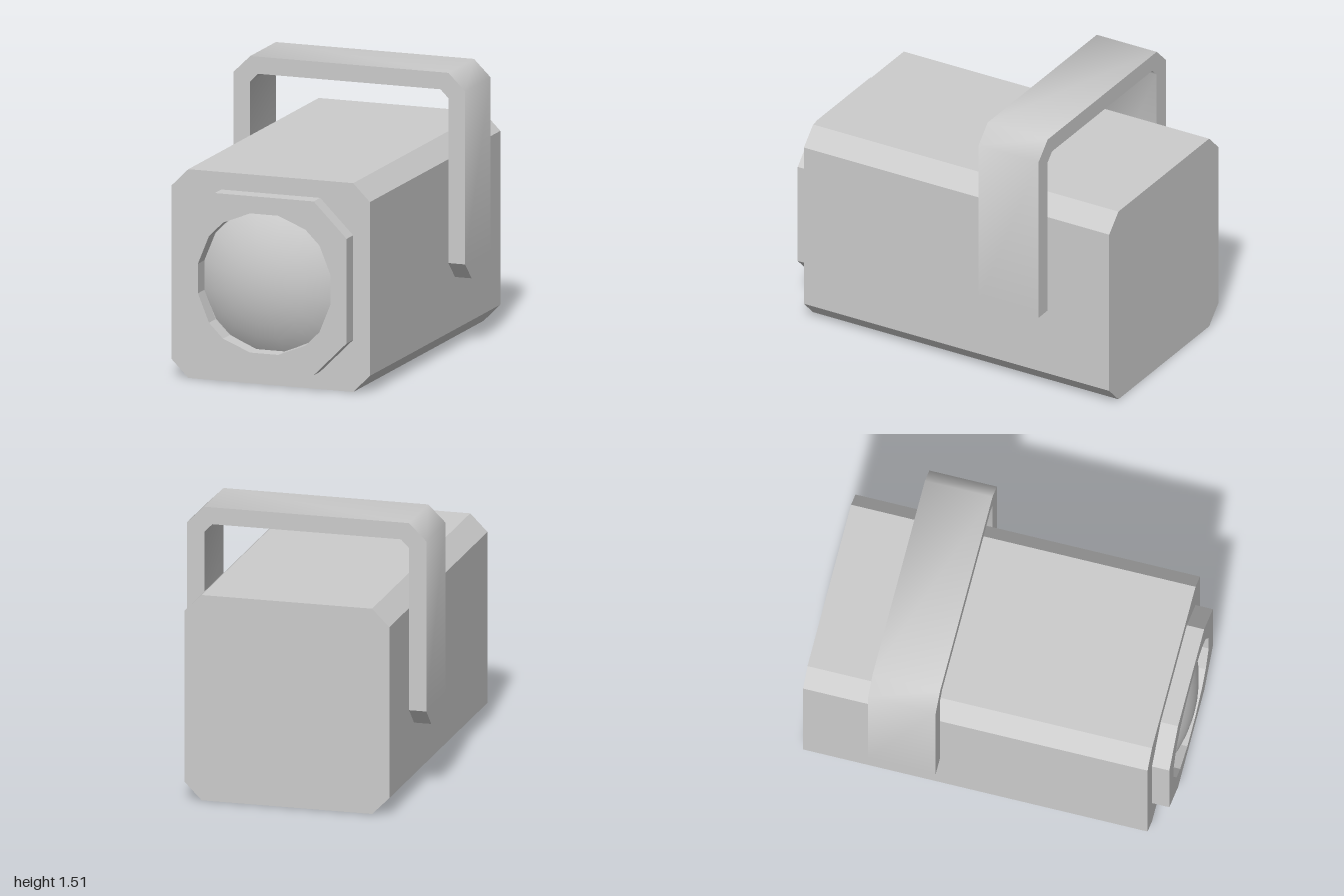
import * as THREE from 'three';
import { toCreasedNormals } from 'three/addons/utils/BufferGeometryUtils.js';

const MID_Y = 0.567; // height of the lamp axis

const grey = () => new THREE.MeshStandardMaterial({ color: 0xcccccc });

function shapeOf(points) {
  return new THREE.Shape(points.map(([x, y]) => new THREE.Vector2(x, y)));
}

// Rectangle centred on the origin with its corners cut at 45 degrees
function chamferedRect(hw, hh, c) {
  return shapeOf([
    [-hw + c, -hh], [hw - c, -hh], [hw, -hh + c], [hw, hh - c],
    [hw - c, hh], [-hw + c, hh], [-hw, hh - c], [-hw, -hh + c],
  ]);
}

function extrude(shape, depth) {
  return new THREE.ExtrudeGeometry(shape, { depth, bevelEnabled: false });
}

// Sixteen-sided lens opening, from one quadrant turned four times
function lensOutline() {
  const quadrant = [[0.378, 0.08], [0.315, 0.235], [0.235, 0.315], [0.08, 0.378]];
  const points = [];
  for (let q = 0; q < 4; q++) {
    for (const [x, y] of quadrant) {
      points.push(new THREE.Vector2(x, y).rotateAround(new THREE.Vector2(), q * Math.PI / 2));
    }
  }
  return points;
}

// Shallow dome: a disc whose rings follow the outline and bulge as a sphere cap
function lensGeometry(outline, rise) {
  const rings = 5, n = outline.length;
  const edge = outline[0].length();
  const R = (edge * edge + rise * rise) / (2 * rise);
  const g = new THREE.RingGeometry(0, 1, n, rings);
  const pos = g.attributes.position, normal = g.attributes.normal;
  const v = new THREE.Vector3();
  for (let j = 0; j <= rings; j++) {
    for (let i = 0; i <= n; i++) {
      const p = outline[i % n], s = j / rings, k = j * (n + 1) + i;
      v.set(p.x * s, p.y * s, 0);
      v.z = Math.sqrt(R * R - v.lengthSq());
      pos.setXYZ(k, v.x, v.y, v.z - R + rise);
      v.normalize();
      normal.setXYZ(k, v.x, v.y, v.z);
    }
  }
  return g;
}

export function createModel() {
  const model = new THREE.Group();
  model.name = 'lantern';
  const add = (name, geometry, x, y, z, parent = model) => {
    const mesh = new THREE.Mesh(geometry, grey());
    mesh.name = name;
    mesh.position.set(x, y, z);
    parent.add(mesh);
    return mesh;
  };

  // Long housing with chamfered edges
  add('housing', extrude(chamferedRect(0.565, MID_Y, 0.095), 1.885), 0, MID_Y, -1);

  // Raised bezel around the lens opening
  const outline = lensOutline();
  const bezel = chamferedRect(0.47, 0.472, 0.188);
  bezel.holes.push(new THREE.Path(outline));
  add('bezel', extrude(bezel, 0.095), 0, MID_Y, 0.885);

  // Domed lens
  add('lens', lensGeometry(outline, 0.113), 0, MID_Y, 0.887);

  // Carrying handle: a U-shaped strap, softly shaded over its corners
  const handle = new THREE.Group();
  handle.name = 'handle';
  model.add(handle);
  const half = [
    [0.565, 0.475], [0.66, 0.475], [0.66, 1.415], [0.565, 1.508],
  ];
  const inner = [[-0.52, 1.415], [0.52, 1.415], [0.565, 1.37]];
  const strap = shapeOf([
    ...half,
    ...half.map(([x, y]) => [-x, y]).reverse(),
    [-0.565, 1.37], ...inner,
  ]);
  add('handleStrap', toCreasedNormals(extrude(strap, 0.37), 0.9), 0, 0, -0.62, handle);

  // Tapered lower ends of the handle, extruded sideways
  const tip = shapeOf([
    [-0.185, 0.475], [-0.09, 0.38], [0.09, 0.38], [0.185, 0.475],
  ]);
  for (const side of [1, -1]) {
    const name = side > 0 ? 'leftHandleTip' : 'rightHandleTip';
    const x = side > 0 ? 0.565 : -0.66;
    add(name, extrude(tip, 0.095), x, 0, -0.435, handle).rotation.y = Math.PI / 2;
  }

  return model;
}
